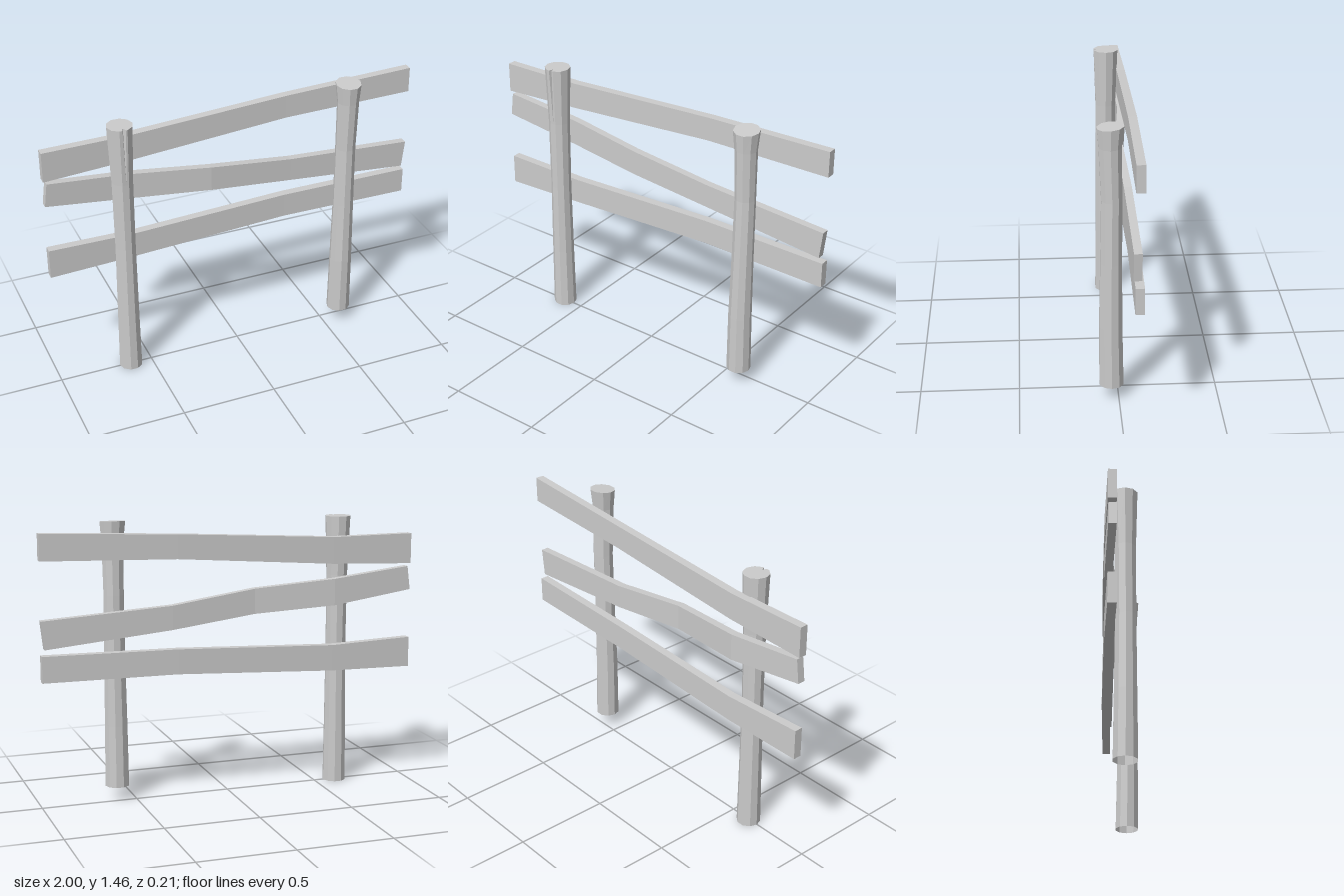
import * as THREE from 'three';

const material = new THREE.MeshStandardMaterial({ color: 0xcccccc, flatShading: true, side: THREE.DoubleSide });

// Skin a series of equal-length rings, optionally closing either end with a fan.
// Rings run counterclockwise seen from the last ring.
function loft(name, rings, capStart, capEnd) {
  const n = rings[0].length;
  const positions = rings.flat(2);
  const index = [];
  for (let r = 0; r < rings.length - 1; r++) {
    for (let i = 0; i < n; i++) {
      const a = r * n + i, b = r * n + (i + 1) % n;
      index.push(a, b, b + n, a, b + n, a + n);
    }
  }
  const cap = (r, flip) => {
    const centre = positions.length / 3;
    for (let k = 0; k < 3; k++) positions.push(rings[r].reduce((s, p) => s + p[k], 0) / n);
    for (let i = 0; i < n; i++) {
      const a = r * n + i, b = r * n + (i + 1) % n;
      index.push(centre, flip ? b : a, flip ? a : b);
    }
  };
  if (capStart) cap(0, true);
  if (capEnd) cap(rings.length - 1, false);
  const geometry = new THREE.BufferGeometry();
  geometry.setAttribute('position', new THREE.Float32BufferAttribute(positions, 3));
  geometry.setIndex(index);
  geometry.computeVertexNormals();
  const mesh = new THREE.Mesh(geometry, material);
  mesh.name = name;
  return mesh;
}

// Ten-sided post ring; split opens a wedge in the front facet, tilt raises the back
function postRing({ x, y, z, r, split = 0, tilt = 0 }) {
  const ring = [];
  for (let i = 0; i < 10; i++) {
    const a = (i + 0.5) * Math.PI / 5;
    const dz = Math.cos(a) * r;
    ring.push([x + Math.sin(a) * r, y - dz * tilt, z + dz]);
  }
  const front = r * Math.cos(Math.PI / 10);
  for (const [dx, depth] of [[-0.5, 0], [0, 1.2], [0.5, 0]]) {
    const dz = front - depth * split;
    ring.push([x + 0.004 + dx * split, y - dz * tilt, z + dz]);
  }
  return ring;
}

// Plank from stations [x, bottom, top, centre z]; skew leans the cut ends
function plank(name, stations, thickness, skew = 0) {
  const h = thickness / 2;
  const rings = stations.map(([x, bottom, top, z], i) => {
    const lean = i === 0 || i === stations.length - 1 ? skew : 0;
    const xt = x + lean / 2, xb = x - lean / 2;
    return [[xt, top, z + h], [xb, bottom, z + h], [xb, bottom, z - h], [xt, top, z - h]];
  });
  return loft(name, rings, true, true);
}

export function createModel() {
  const fence = new THREE.Group();
  fence.name = 'fence';

  // Posts, open underneath
  fence.add(loft('rightPost', [
    { x: -0.614, y: 0, z: -0.002, r: 0.062 },
    { x: -0.614, y: 0.35, z: -0.001, r: 0.058 },
    { x: -0.613, y: 0.75, z: 0, r: 0.054 },
    { x: -0.613, y: 1.13, z: -0.002, r: 0.056 },
    { x: -0.614, y: 1.44, z: -0.004, r: 0.067, split: 0.018 },
  ].map(postRing), false, true));
  fence.add(loft('leftPost', [
    { x: 0.594, y: 0.075, z: 0.036, r: 0.063 },
    { x: 0.594, y: 0.4, z: 0.04, r: 0.06 },
    { x: 0.596, y: 0.75, z: 0.038, r: 0.055 },
    { x: 0.597, y: 1.08, z: 0.035, r: 0.053 },
    { x: 0.597, y: 1.35, z: 0.043, r: 0.057 },
    { x: 0.596, y: 1.452, z: 0.041, r: 0.067, tilt: 0.09 },
  ].map(postRing), false, true));

  // Crooked planks behind the posts
  fence.add(plank('topPlank', [
    [-1, 1.18, 1.34, -0.072],
    [-0.55, 1.2, 1.34, -0.083],
    [0.3, 1.265, 1.39, -0.084],
    [1, 1.285, 1.42, -0.072],
  ], 0.044));
  fence.add(plank('middlePlank', [
    [-0.992, 1.04, 1.165, -0.071],
    [-0.56, 0.98, 1.12, -0.085],
    [-0.13, 0.953, 1.085, -0.044],
    [0.32, 0.9, 1.025, -0.062],
    [0.99, 0.84, 0.985, -0.062],
  ], 0.04, 0.016));
  fence.add(plank('bottomPlank', [
    [-1, 0.62, 0.78, -0.072],
    [-0.55, 0.63, 0.767, -0.083],
    [0.3, 0.673, 0.803, -0.084],
    [1, 0.675, 0.81, -0.072],
  ], 0.044));

  return fence;
}
